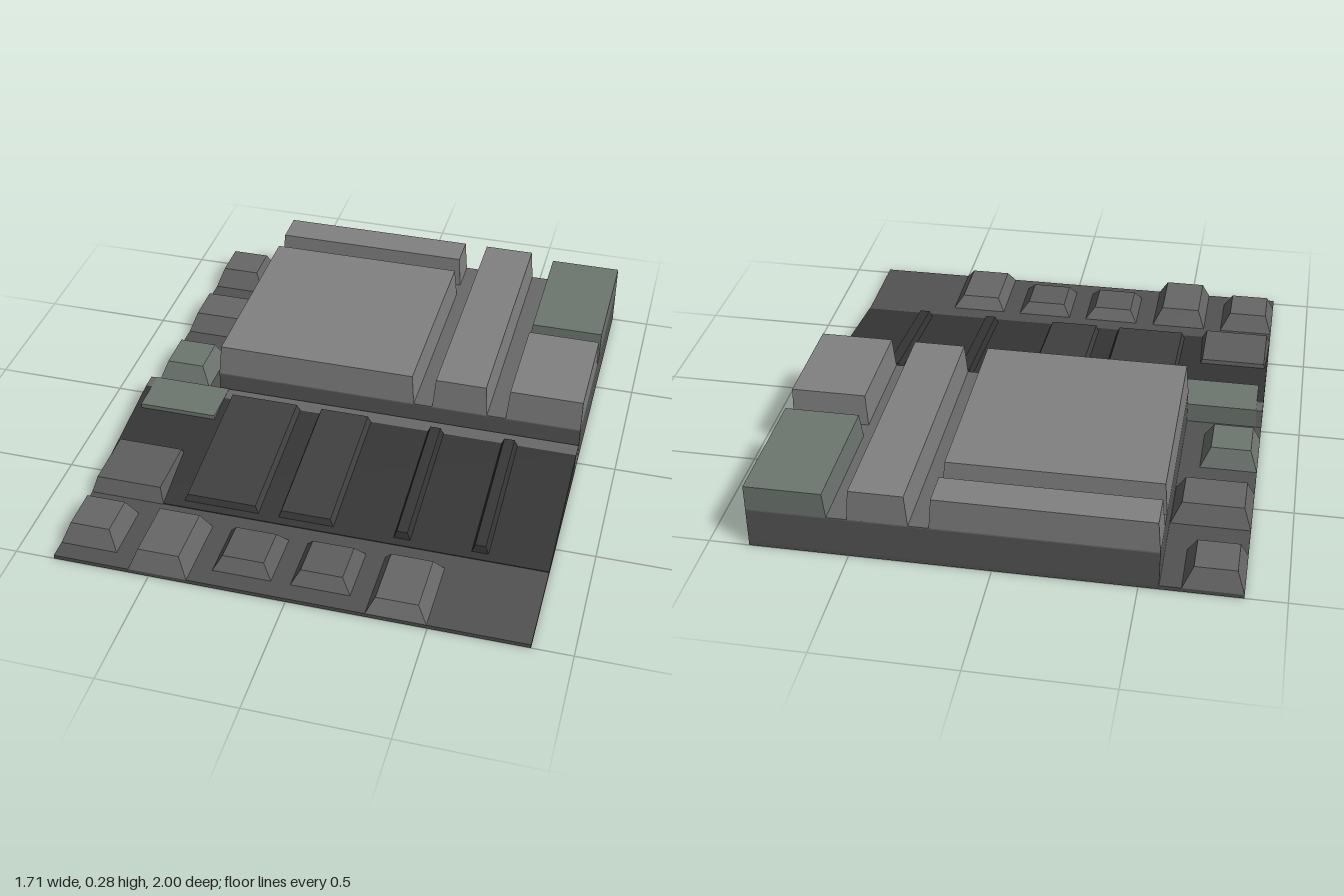
import * as THREE from 'three';

const paint = color => new THREE.MeshStandardMaterial({ color, flatShading: true });
const panelGrey = paint(0x818181);
const channelGrey = paint(0x696969);
const blockGrey = paint(0x676767);
const lowBlockGrey = paint(0x5e5e5e);
const platformGrey = paint(0x565656);
const baseGrey = paint(0x525252);
const stripGrey = paint(0x404040);
const rampGrey = paint(0x353535);
const tinted = paint(0x6e7670);

// Box over [x0,x1,z0,z1] whose four sides lean in by [left, right, back, front]
function plate(group, name, material, [x0, x1, z0, z1], y0, y1, [l, r, b, f] = [0, 0, 0, 0]) {
  const geo = new THREE.BoxGeometry(1, 1, 1);
  const p = geo.attributes.position;
  for (let i = 0; i < p.count; i++) {
    const t = p.getY(i) > 0 ? 1 : 0;
    p.setXYZ(i,
      p.getX(i) < 0 ? x0 + l * t : x1 - r * t,
      t ? y1 : y0,
      p.getZ(i) < 0 ? z0 + b * t : z1 - f * t);
  }
  geo.computeVertexNormals();
  const mesh = new THREE.Mesh(geo, material);
  mesh.name = name;
  group.add(mesh);
  return mesh;
}

// Height of the sloped deck at depth z
const rampY = z => 0.018 + (0.64 - z) / 0.575 * 0.072;

// Lifts a plate's vertices so that it follows the slope
function layOnRamp(mesh) {
  const p = mesh.geometry.attributes.position;
  for (let i = 0; i < p.count; i++) p.setY(i, p.getY(i) + rampY(p.getZ(i)));
  mesh.geometry.computeVertexNormals();
}

export function createModel() {
  const g = new THREE.Group();
  g.name = 'panelTile';
  const W = 0.855, B = 0.015;

  plate(g, 'basePlate', baseGrey, [-W, W, -1, 1], 0, B);

  // Tall rear platform, its channel floor and the raised panels
  plate(g, 'rearPlatform', platformGrey, [-0.57, W, -1, 0], B, 0.15, [0, 0, 0, 0.005]);
  plate(g, 'channelFloor', channelGrey, [-0.57, W, -1, -0.005], 0.15, 0.155);
  const s = 0.01;
  plate(g, 'backPanel', panelGrey, [-0.57, 0.213, -1, -0.86], 0.155, 0.275, [s, s, 0, s]);
  plate(g, 'mainPanel', panelGrey, [-0.57, 0.213, -0.79, -0.005], 0.155, 0.275, [s, s, s, s]);
  plate(g, 'longPanel', panelGrey, [0.285, 0.498, -1, -0.005], 0.155, 0.275, [s, s, 0, s]);
  plate(g, 'sideBackPanel', tinted, [0.57, W, -1, -0.5], 0.155, 0.25, [s, 0, 0, s]);
  plate(g, 'sideFrontPanel', panelGrey, [0.57, W, -0.43, -0.005], 0.155, 0.275, [s, 0, s, s]);

  // Sloped deck, closed as a wedge, and the ledge behind it
  const profile = new THREE.Shape();
  profile.moveTo(-0.64, B);
  profile.lineTo(-0.065, B);
  profile.lineTo(-0.065, rampY(0.065));
  profile.lineTo(-0.64, rampY(0.64));
  const wedge = new THREE.ExtrudeGeometry(profile, { depth: 2 * W, bevelEnabled: false });
  wedge.rotateY(Math.PI / 2).translate(-W, 0, 0);
  const ramp = new THREE.Mesh(wedge, rampGrey);
  ramp.name = 'ramp';
  g.add(ramp);
  plate(g, 'ledge', channelGrey, [-W, W, 0.005, 0.065], B, 0.09);
  plate(g, 'ledgeCorner', tinted, [-0.835, -0.53, 0.005, 0.19], B, 0.092, [0.005, 0, 0, 0.005]);

  // Raised strips on the slope
  for (const [x0, x1] of [[-0.505, -0.218], [-0.145, 0.065], [0.285, 0.35], [0.57, 0.635]]) {
    layOnRamp(plate(g, 'rampStrip', x1 - x0 > 0.1 ? stripGrey : rampGrey,
      [x0, x1, 0.065, 0.61], -0.005, 0.028, [0.012, 0.014, 0.004, 0.006]));
  }

  // Front row of bevelled blocks
  const bevel = [0.028, 0.036, 0.028, 0.036];
  const frontRow = [
    [-W, -0.645, 0.93, 0.085], [-0.575, -0.36, 1, 0.085],
    [-0.288, -0.073, 0.93, 0.06], [-0.003, 0.212, 0.93, 0.06], [0.282, 0.497, 1, 0.065],
  ];
  for (const [x0, x1, z1, top] of frontRow) {
    plate(g, 'frontBlock', top > 0.06 ? blockGrey : lowBlockGrey, [x0, x1, 0.712, z1], B, top, bevel);
  }

  // Blocks along the side edge
  plate(g, 'sideBlock', lowBlockGrey, [-W, -0.575, 0.37, 0.642], B, 0.067, [0.014, 0.02, 0.012, 0.03]);
  plate(g, 'sideBlock', tinted, [-W, -0.645, -0.295, -0.077], B, 0.09, bevel);
  plate(g, 'sideBlock', blockGrey, [-W, -0.572, -0.65, -0.433], B, 0.09, bevel);
  plate(g, 'sideBlock', blockGrey, [-W, -0.645, -1, -0.79], B, 0.09, bevel);
  return g;
}
